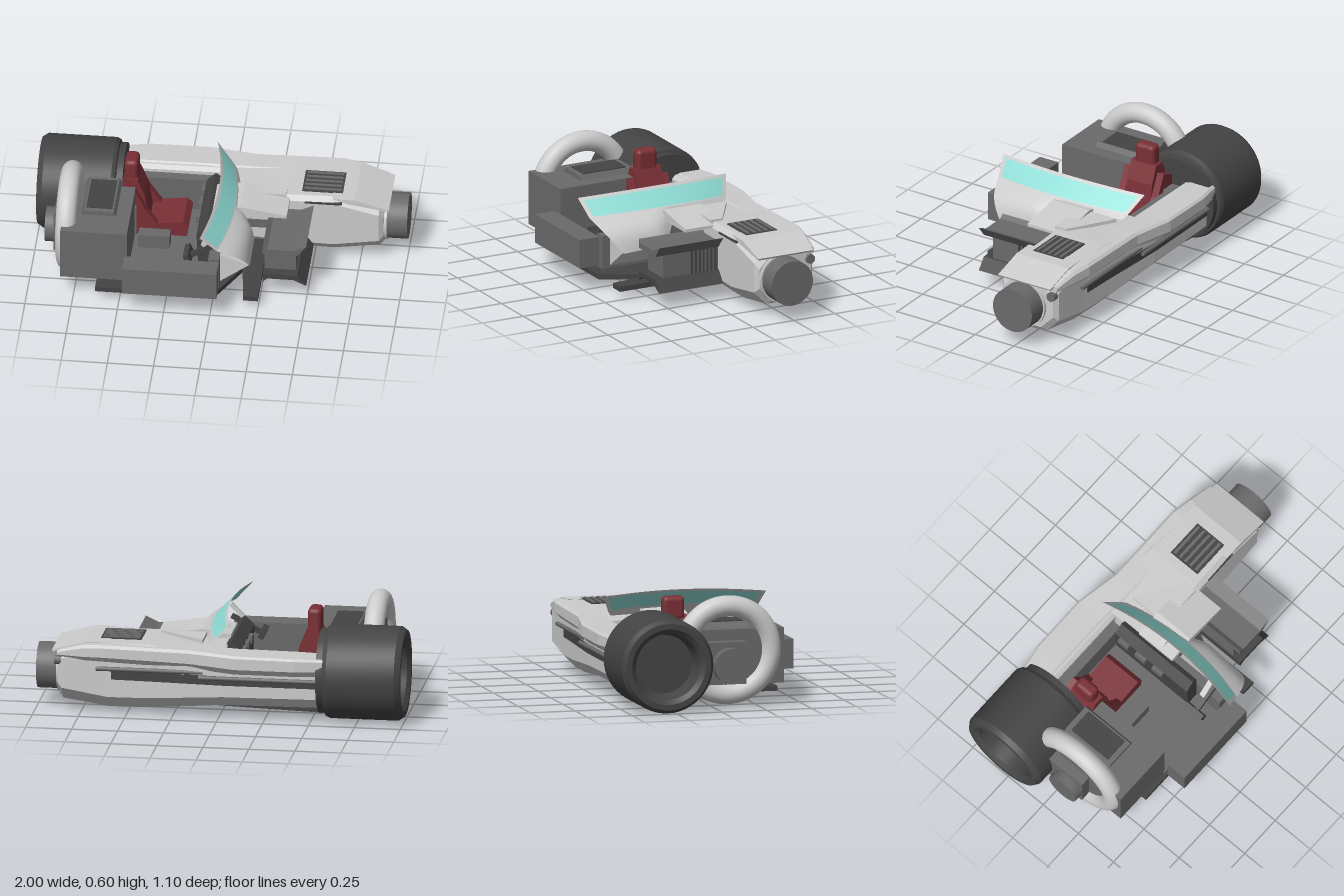
import * as THREE from 'three';
import { toCreasedNormals } from 'three/addons/utils/BufferGeometryUtils.js';
import { ParametricGeometry } from 'three/addons/geometries/ParametricGeometry.js';
import { RoundedBoxGeometry } from 'three/addons/geometries/RoundedBoxGeometry.js';

const paint = (color, extra = {}) => new THREE.MeshStandardMaterial({ color, ...extra });
const LIGHT = paint(0xcccccc), GREY = paint(0x6a6a6a), DARK = paint(0x444444), RED = paint(0x7a3036);
const SHELL = paint(0xcccccc, { side: THREE.DoubleSide });
const GLASS = paint(0x8fdcd5, { side: THREE.DoubleSide });

export function createModel() {
  const model = new THREE.Group();
  model.name = 'speeder';

  const add = (name, geometry, material) => {
    const mesh = new THREE.Mesh(geometry, material);
    mesh.name = name;
    model.add(mesh);
    return mesh;
  };
  // Box given by its limits on each axis
  const box = (name, mat, x0, x1, y0, y1, z0, z1) => {
    const m = add(name, new THREE.BoxGeometry(x1 - x0, y1 - y0, z1 - z0), mat);
    m.position.set((x0 + x1) / 2, (y0 + y1) / 2, (z0 + z1) / 2);
    return m;
  };
  // Cylinder along x
  const rod = (name, mat, x0, x1, y, z, r, sides = 32) => {
    const g = new THREE.CylinderGeometry(r, r, x1 - x0, sides).rotateZ(Math.PI / 2);
    const m = add(name, g, mat);
    m.position.set((x0 + x1) / 2, y, z);
    return m;
  };
  // Side outline in x, y extruded from z0 to z1
  const slab = (name, mat, pts, z0, z1) => {
    const shape = new THREE.Shape(pts.map(p => new THREE.Vector2(...p)));
    const g = new THREE.ExtrudeGeometry(shape, { depth: z1 - z0, bevelEnabled: false });
    return add(name, g.translate(0, 0, z0), mat);
  };
  // Plan outline in x, z extruded from y0 to y1
  const plate = (name, mat, pts, y0, y1) => {
    const shape = new THREE.Shape(pts.map(([x, z]) => new THREE.Vector2(x, -z)));
    const g = new THREE.ExtrudeGeometry(shape, { depth: y1 - y0, bevelEnabled: false });
    return add(name, g.rotateX(-Math.PI / 2).translate(0, y0, 0), mat);
  };
  // Bevelled hull lofted along x; section = [x, bottom, top, inner z, outer z, top bevel, bottom bevel]
  const hull = (name, sections) => {
    const rings = sections.map(([x, y0, y1, zi, zo, t, b]) => [
      [x, y1, zi - t], [x, y1 - t, zi], [x, y0 + b, zi], [x, y0, zi - b],
      [x, y0, zo + b], [x, y0 + b, zo], [x, y1 - t, zo], [x, y1, zo + t]]);
    const pos = [];
    const tri = (...corners) => corners.forEach(c => pos.push(...c));
    for (let i = 0; i < rings.length - 1; i++) {
      for (let j = 0; j < 8; j++) {
        const k = (j + 1) % 8, A = rings[i], B = rings[i + 1];
        tri(A[j], A[k], B[j]);
        tri(A[k], B[k], B[j]);
      }
    }
    const first = rings[0], last = rings[rings.length - 1];
    for (let j = 1; j < 7; j++) {
      tri(last[0], last[j], last[j + 1]);
      tri(first[0], first[j + 1], first[j]);
    }
    const g = new THREE.BufferGeometry();
    g.setAttribute('position', new THREE.Float32BufferAttribute(pos, 3));
    g.computeVertexNormals();
    return add(name, g, LIGHT);
  };

  // Long side hull: slim beside the cockpit, full width ahead of it
  hull('rearHull', [
    [-0.58, 0.08, 0.365, -0.33, -0.48, 0.02, 0.06],
    [-0.03, 0.075, 0.37, -0.33, -0.48, 0.02, 0.06]]);
  hull('frontHull', [
    [-0.03, 0.075, 0.37, -0.085, -0.48, 0.02, 0.06],
    [0.38, 0.035, 0.395, -0.085, -0.455, 0.025, 0.07],
    [0.6, 0.03, 0.395, -0.085, -0.445, 0.03, 0.07],
    [0.85, 0.065, 0.35, -0.085, -0.44, 0.045, 0.075],
    [0.875, 0.085, 0.335, -0.105, -0.42, 0.06, 0.08]]);
  // Overhanging outer deck edge
  hull('outerDeck', [
    [-0.58, 0.27, 0.37, -0.36, -0.51, 0.012, 0.035],
    [-0.43, 0.27, 0.375, -0.36, -0.535, 0.012, 0.035],
    [-0.1, 0.27, 0.378, -0.36, -0.535, 0.012, 0.035],
    [0.15, 0.28, 0.387, -0.34, -0.487, 0.015, 0.035],
    [0.62, 0.3, 0.396, -0.34, -0.487, 0.015, 0.03],
    [0.73, 0.3, 0.388, -0.34, -0.467, 0.015, 0.025],
    [0.87, 0.31, 0.35, -0.34, -0.442, 0.01, 0.015]]);
  slab('noseDeck', LIGHT, [[0.68, 0.37], [0.9, 0.335], [0.905, 0.345], [0.72, 0.396], [0.6, 0.398]], -0.42, -0.085);
  // Recess and pipes under the overhang
  plate('outerGroove', DARK, [[-0.57, -0.484], [-0.03, -0.484], [0.38, -0.459], [0.58, -0.45], [0.58, -0.4], [-0.57, -0.4]], 0.2, 0.25);
  rod('outerPipeRear', GREY, -0.57, 0.1, 0.24, -0.489, 0.012, 10);
  rod('outerPipeFront', GREY, 0.08, 0.66, 0.262, -0.463, 0.012, 10);
  box('innerSlot', DARK, 0.45, 0.65, 0.36, 0.37, -0.1, -0.082);
  box('innerRecess', GREY, 0.02, 0.27, 0.185, 0.235, -0.1, -0.08);

  // Nose
  rod('noseCollar', LIGHT, 0.86, 0.89, 0.21, -0.24, 0.135);
  rod('noseCylinder', GREY, 0.87, 1, 0.21, -0.24, 0.125, 40);
  rod('noseProbe', GREY, 0.8, 0.89, 0.29, -0.412, 0.026, 16);

  // Louvred vent on the deck
  box('ventBed', DARK, 0.43, 0.65, 0.38, 0.4, -0.335, -0.145);
  for (let i = 0; i < 5; i++) {
    const z = -0.315 + i * 0.037;
    box('ventSlat', GREY, 0.44, 0.64, 0.39, 0.405, z - 0.008, z + 0.008);
  }

  // Deck beside the windshield
  slab('deckPanel', LIGHT, [[-0.03, 0.365], [0.37, 0.365], [0.37, 0.382], [0.12, 0.42], [-0.03, 0.395]], -0.16, 0.075);
  plate('deckStep', LIGHT, [[0.1, -0.32], [0.35, -0.16], [0.35, -0.09], [0.1, -0.09]], 0.385, 0.405);

  // Rear drum with hollow end
  const drumProfile = [[0, 0.12], [0.16, 0.12], [0.18, 0.02], [0.205, 0], [0.235, 0], [0.255, 0.03], [0.255, 0.4],
    [0.245, 0.42], [0.23, 0.425], [0.23, 0.46], [0, 0.46]].map(p => new THREE.Vector2(...p));
  const drumGeo = toCreasedNormals(new THREE.LatheGeometry(drumProfile, 48), 0.4);
  add('rearDrum', drumGeo.rotateZ(-Math.PI / 2), DARK).position.set(-1, 0.255, -0.295);

  // Engine block, ring pipe and exhaust
  box('engineBlock', GREY, -0.82, -0.46, 0.12, 0.42, -0.05, 0.395);
  slab('engineCover', GREY, [[-0.73, 0.41], [-0.53, 0.41], [-0.55, 0.445], [-0.71, 0.445]], -0.09, 0.23);
  box('engineCoverInset', DARK, -0.7, -0.56, 0.44, 0.45, -0.06, 0.2);
  const pipe = add('ringPipe', new THREE.TorusGeometry(0.24, 0.056, 20, 64).rotateY(Math.PI / 2), LIGHT);
  pipe.position.set(-0.8, 0.307, 0.085);
  box('engineBack', GREY, -0.88, -0.8, 0.13, 0.36, -0.08, 0.17);
  rod('exhaust', GREY, -0.93, -0.85, 0.235, 0.075, 0.095, 28);

  // Cockpit tub over a notched floor plate
  plate('floorPlate', DARK, [[-0.63, 0.41], [0.01, 0.41], [0.14, 0.15], [0.17, 0.41], [0.25, 0.41], [0.25, 0.06], [0.33, -0.1],
    [0.33, -0.3], [-0.58, -0.4], [-0.63, -0.1]], 0.047, 0.075);
  box('tubFloor', GREY, -0.47, 0.04, 0.115, 0.14, -0.34, 0.405);
  box('sideBox', GREY, -0.47, 0.04, 0.14, 0.3, 0.425, 0.545);
  box('tubFrontWall', GREY, -0.02, 0.04, 0.12, 0.3, -0.1, 0.405);
  slab('cowlApron', LIGHT, [[0.04, 0.13], [0.195, 0.245], [0.04, 0.3]], 0.07, 0.36);
  box('cockpitLedge', GREY, -0.5, -0.05, 0.12, 0.33, -0.335, -0.275);
  box('rearBulkhead', GREY, -0.54, -0.45, 0.08, 0.33, -0.34, 0.0);
  box('console', GREY, -0.43, -0.26, 0.13, 0.22, 0.04, 0.11);
  slab('dashboard', DARK, [[-0.09, 0.12], [-0.02, 0.12], [-0.02, 0.37], [-0.05, 0.39], [-0.1, 0.34]], -0.27, 0.24);
  for (const z of [-0.2, -0.08, 0.04]) box('instrument', GREY, -0.12, -0.08, 0.3, 0.34, z - 0.035, z + 0.035);
  box('steeringColumn', DARK, -0.15, 0.05, 0.3, 0.325, 0.32, 0.345).rotation.z = 0.5;
  box('steeringYoke', DARK, -0.15, -0.12, 0.25, 0.3, 0.27, 0.39).rotation.z = 0.4;
  for (const z of [-0.04, 0.3]) box('windshieldStrut', LIGHT, -0.08, 0.06, 0.37, 0.39, z, z + 0.03).rotation.z = 0.8;

  // Seat
  slab('seatCushion', RED, [[-0.46, 0.13], [-0.18, 0.13], [-0.17, 0.2], [-0.2, 0.23], [-0.44, 0.2]], -0.25, -0.02);
  slab('seatBack', RED, [[-0.47, 0.15], [-0.38, 0.18], [-0.41, 0.36], [-0.45, 0.46], [-0.51, 0.46], [-0.54, 0.4]], -0.215, -0.055);
  add('headrest', new RoundedBoxGeometry(0.075, 0.13, 0.122, 3, 0.025), RED).position.set(-0.487, 0.5, -0.135);
  for (const z of [-0.258, -0.05])
    slab('seatBolster', RED, [[-0.56, 0.38], [-0.47, 0.16], [-0.33, 0.2], [-0.4, 0.3], [-0.46, 0.42]], z, z + 0.04);

  // Windshield and cowl cut from one curved surface
  const mix = THREE.MathUtils.lerp;
  const patch = (name, mat, u0, u1, v0, v1) => add(name, new ParametricGeometry((s, t, out) => {
    const u = mix(u0, u1, s), v = mix(v0, v1, t), b = 1 - (2 * u - 1) ** 2;
    const top = [-0.055 + 0.055 * b, 0.505 + 0.018 * b, mix(-0.4, 0.505, u)];
    const mid = [0.035 + 0.06 * b, 0.41 + 0.015 * b, mix(-0.35, 0.48, u)];
    const z = mix(-0.33, 0.36, u), drop = THREE.MathUtils.smoothstep(z, -0.02, 0.12);
    const low = [mix(0.06 + 0.05 * b, 0.2, drop), mix(0.385, mix(0.265, 0.24, u), drop), z];
    const [A, B, w] = v < 0.5 ? [top, mid, v * 2] : [mid, low, v * 2 - 1];
    const belly = v > 0.5 ? 0.03 * drop * Math.sin(Math.PI * w) : 0;
    out.set(mix(A[0], B[0], w) + belly, mix(A[1], B[1], w) + belly * 0.5, mix(A[2], B[2], w) + belly * 0.5 * u);
  }, 40, 12), mat);
  patch('windshieldTopFrame', SHELL, 0, 1, 0, 0.07);
  patch('windshieldFrame', SHELL, 0, 0.028, 0.07, 0.47);
  patch('windshieldFrame', SHELL, 0.972, 1, 0.07, 0.47);
  patch('windshieldLowerFrame', SHELL, 0, 1, 0.47, 0.5);
  patch('cowl', SHELL, 0, 1, 0.5, 1);
  patch('windshieldGlass', GLASS, 0.028, 0.972, 0.07, 0.47);

  // Front intake: mirrored flared plates around a finned core
  box('intakeCore', GREY, 0.27, 0.44, 0.15, 0.29, -0.09, 0.25);
  for (let i = 0; i < 7; i++) {
    const z = -0.07 + i * 0.024;
    box('intakeFin', DARK, 0.43, 0.452, 0.155, 0.285, z, z + 0.008);
  }
  const flare = [[0.265, 0.285], [0.45, 0.285], [0.5, 0.348], [0.43, 0.315], [0.29, 0.315], [0.265, 0.335]];
  slab('upperIntakePlate', GREY, flare, -0.085, 0.303);
  slab('lowerIntakePlate', DARK, flare.map(([x, y]) => [x, 0.44 - y]).reverse(), -0.085, 0.303);

  return model;
}
